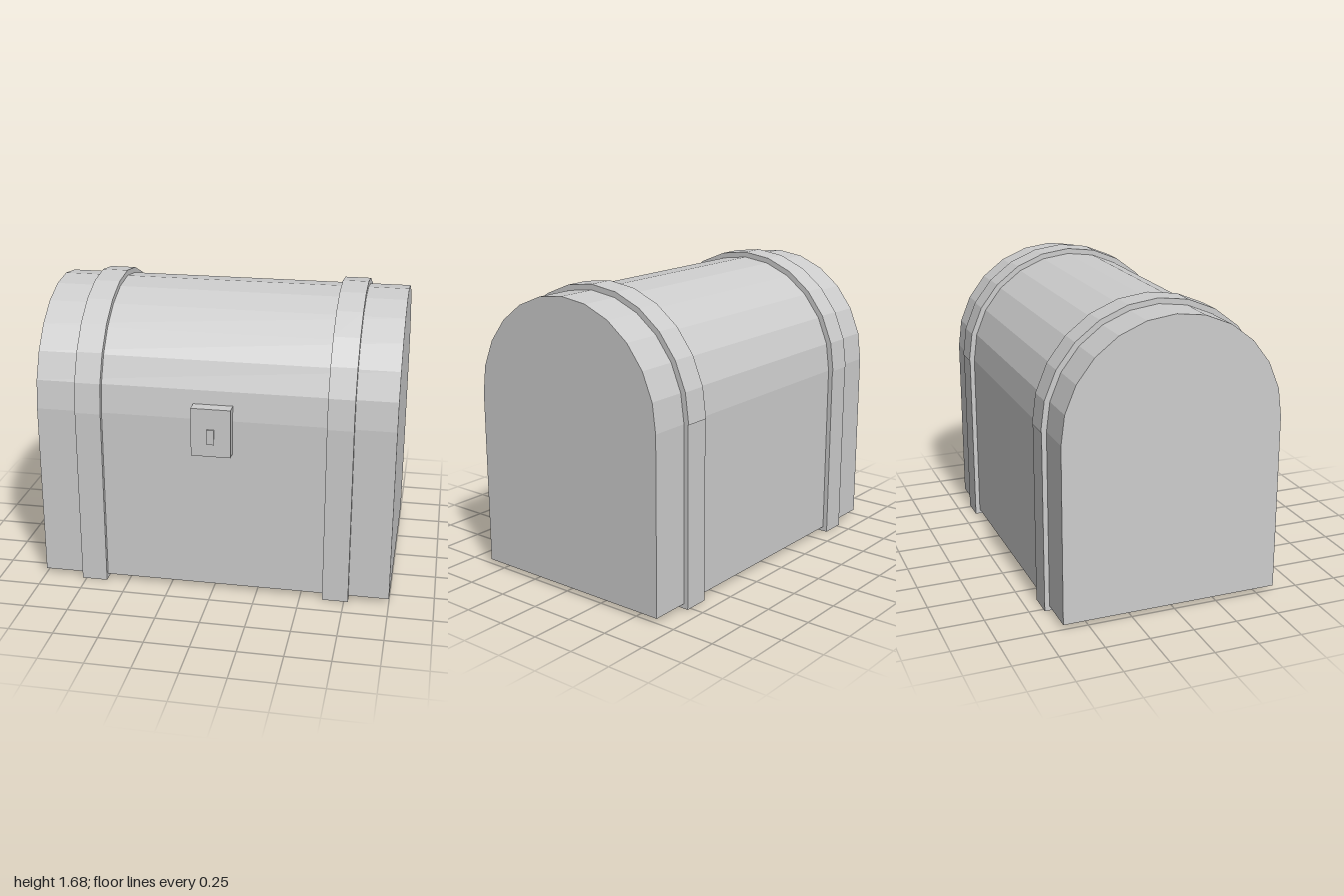
import * as THREE from 'three';

const CENTER_Z = -0.018;
const SPRING_Y = 1.03; // height where the rounded lid begins

// Half-round lid outline made of twelve straight facets
function lidOutline(radius) {
  const pts = [];
  for (let i = 0; i <= 12; i++) {
    const a = (i / 12) * Math.PI;
    pts.push(new THREE.Vector2(CENTER_Z + radius * Math.cos(a), SPRING_Y + radius * Math.sin(a)));
  }
  return pts;
}

// Rectangular outline of the lower box
function boxOutline(half, bottom) {
  return [
    new THREE.Vector2(CENTER_Z - half, SPRING_Y),
    new THREE.Vector2(CENTER_Z - half, bottom),
    new THREE.Vector2(CENTER_Z + half, bottom),
    new THREE.Vector2(CENTER_Z + half, SPRING_Y),
  ];
}

// Sweep a z-y outline along x, centred on x
function sweep(name, outline, width, x, material) {
  const geo = new THREE.ExtrudeGeometry(new THREE.Shape(outline), { depth: width, bevelEnabled: false });
  geo.translate(0, 0, -width / 2);
  geo.rotateY(-Math.PI / 2);
  const mesh = new THREE.Mesh(geo, material);
  mesh.name = name;
  mesh.position.x = x;
  return mesh;
}

function block(name, size, position, material) {
  const mesh = new THREE.Mesh(new THREE.BoxGeometry(...size), material);
  mesh.name = name;
  mesh.position.set(...position);
  return mesh;
}

export function createModel() {
  const chest = new THREE.Group();
  chest.name = 'chest';
  const grey = new THREE.MeshStandardMaterial({ color: 0xcccccc });
  grey.name = 'plainGrey';
  grey.flatShading = true;

  // Chest body with its barrel lid
  const body = [...lidOutline(0.622), ...boxOutline(0.622, 0.027).slice(1, 3)];
  chest.add(sweep('body', body, 2, 0, grey));

  // Straps around both ends; the lid half stands slightly proud of the box half
  for (const side of [-1, 1]) {
    const strap = new THREE.Group();
    strap.name = side > 0 ? 'leftStrap' : 'rightStrap';
    strap.add(sweep('lidStrap', lidOutline(0.653), 0.146, side * 0.7, grey));
    strap.add(sweep('boxStrap', boxOutline(0.649, 0), 0.146, side * 0.7, grey));
    chest.add(strap);
  }

  // Lock plate and raised keyhole
  const lock = new THREE.Group();
  lock.name = 'lock';
  lock.add(block('lockPlate', [0.22, 0.275, 0.077], [0, 0.977, 0.6275], grey));
  lock.add(block('keyhole', [0.04, 0.085, 0.03], [0, 0.955, 0.66], grey));
  chest.add(lock);

  return chest;
}
